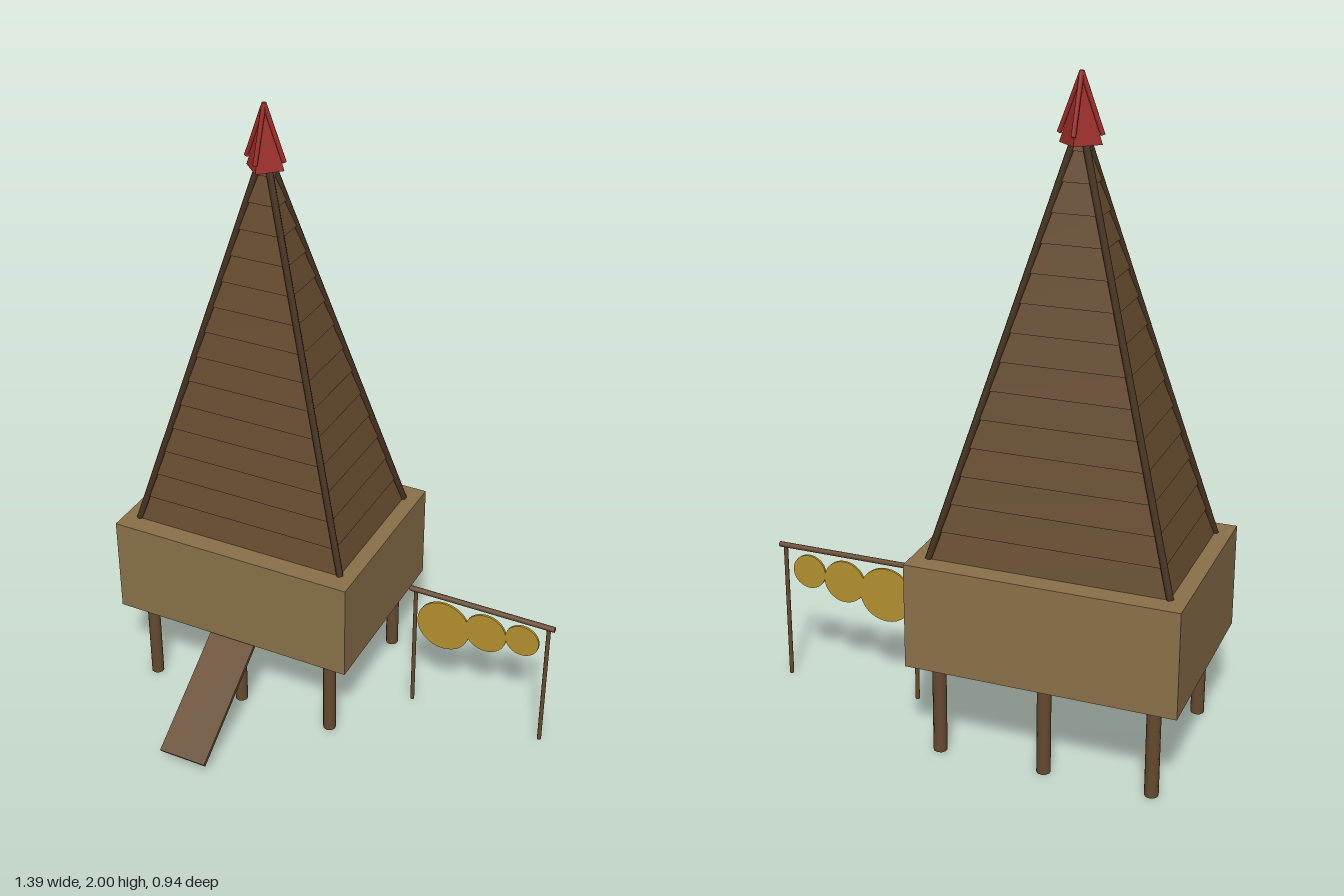
import * as THREE from 'three';

const mat = (name, color) => {
  const m = new THREE.MeshStandardMaterial({ color });
  m.name = name;
  return m;
};

export function createModel() {
  const paleWood = mat('pale wood', 0x8b714a);
  const brownWood = mat('brown wood', 0x664b2f);
  const darkWood = mat('dark wood', 0x45311f);
  const red = mat('red', 0x9c2c27);
  const gold = mat('gold', 0xb5912f);

  const model = new THREE.Group();
  model.name = 'stiltHut';
  const CX = -0.29, CZ = -0.167;

  const add = (parent, name, geometry, material, x = 0, y = 0, z = 0) => {
    const mesh = new THREE.Mesh(geometry, material);
    mesh.name = name;
    mesh.position.set(x, y, z);
    parent.add(mesh);
    return mesh;
  };
  const group = (name, x = 0, y = 0, z = 0) => {
    const g = new THREE.Group();
    g.name = name;
    g.position.set(x, y, z);
    model.add(g);
    return g;
  };
  // round pole between two points
  const pole = (parent, name, a, b, r, material, sides = 8) => {
    const from = new THREE.Vector3(...a), to = new THREE.Vector3(...b);
    const dir = to.clone().sub(from);
    const mesh = add(parent, name, new THREE.CylinderGeometry(r, r, dir.length(), sides), material);
    mesh.position.copy(from).add(to).multiplyScalar(0.5);
    mesh.quaternion.setFromUnitVectors(new THREE.Vector3(0, 1, 0), dir.normalize());
    return mesh;
  };
  // four-sided frustum with flat faces; sizes are half widths
  const frustum = (topScale, halfX, halfZ, h, turn = Math.PI / 4) => {
    const g = new THREE.CylinderGeometry(Math.SQRT2 * topScale, Math.SQRT2, h, 4)
      .rotateY(turn).scale(halfX, 1, halfZ).toNonIndexed();
    g.computeVertexNormals();
    return g;
  };

  // raised body
  add(model, 'body', new THREE.BoxGeometry(0.82, 0.326, 0.615), paleWood, CX, 0.456, CZ);

  // six stilts
  const stilts = group('stilts', CX, 0, CZ);
  for (const x of [-0.328, 0, 0.328])
    for (const z of [-0.247, 0.247])
      pole(stilts, 'stilt', [x, 0, z], [x, 0.3, z], 0.021, brownWood, 10);

  // steep roof of overlapping boards
  const roof = group('roof', CX, 0, CZ);
  const baseY = 0.618, apexY = 1.868, rows = 15, pitch = (apexY - baseY) / rows;
  for (let i = 0; i < rows; i++) {
    const low = 1 - i / rows, high = 1 - (i + 1) / rows;
    const halfX = 0.352 * low + 0.008, halfZ = 0.235 * low + 0.008;
    add(roof, 'roofBoards', frustum((0.352 * high + 0.001) / halfX, halfX, halfZ, pitch),
      brownWood, 0, baseY + pitch * (i + 0.5), 0);
  }
  // hip poles along the roof corners
  for (const sx of [-1, 1])
    for (const sz of [-1, 1])
      pole(roof, 'hipPole', [0.36 * sx, baseY, 0.24 * sz], [0, apexY, 0], 0.011, darkWood);

  // red finial with ribs on its corners
  const finial = group('finial', CX, 0, CZ);
  const k = 0.062 / Math.SQRT2;
  add(finial, 'finialCap', frustum(0.001, k, k, 0.19, 0), red, 0, 1.897, 0);
  for (let i = 0; i < 4; i++) {
    const a = i * Math.PI / 2;
    pole(finial, 'finialRib', [0.062 * Math.cos(a), 1.828, 0.062 * Math.sin(a)], [0, 1.995, 0], 0.007, red, 6);
  }

  // entry ramp
  const rise = 0.26, run = 0.38;
  const ramp = add(model, 'ramp', new THREE.BoxGeometry(0.16, 0.014, Math.hypot(rise, run)), brownWood,
    CX, 0.045 + rise / 2, 0.466 - run / 2);
  ramp.rotation.x = Math.atan2(rise, run);

  // rack with hanging discs
  const rack = group('rack', 0, 0, -0.168);
  for (const x of [0.225, 0.675]) pole(rack, 'rackPost', [x, 0, 0], [x, 0.455, 0], 0.007, brownWood);
  pole(rack, 'rackBar', [0.205, 0.455, 0], [0.695, 0.455, 0], 0.009, brownWood);
  for (const [x, y, r] of [[0.325, 0.343, 0.09], [0.469, 0.363, 0.07], [0.592, 0.377, 0.056]])
    add(rack, 'disc', new THREE.CylinderGeometry(r, r, 0.008, 32).rotateX(Math.PI / 2), gold, x, y, 0);

  return model;
}
